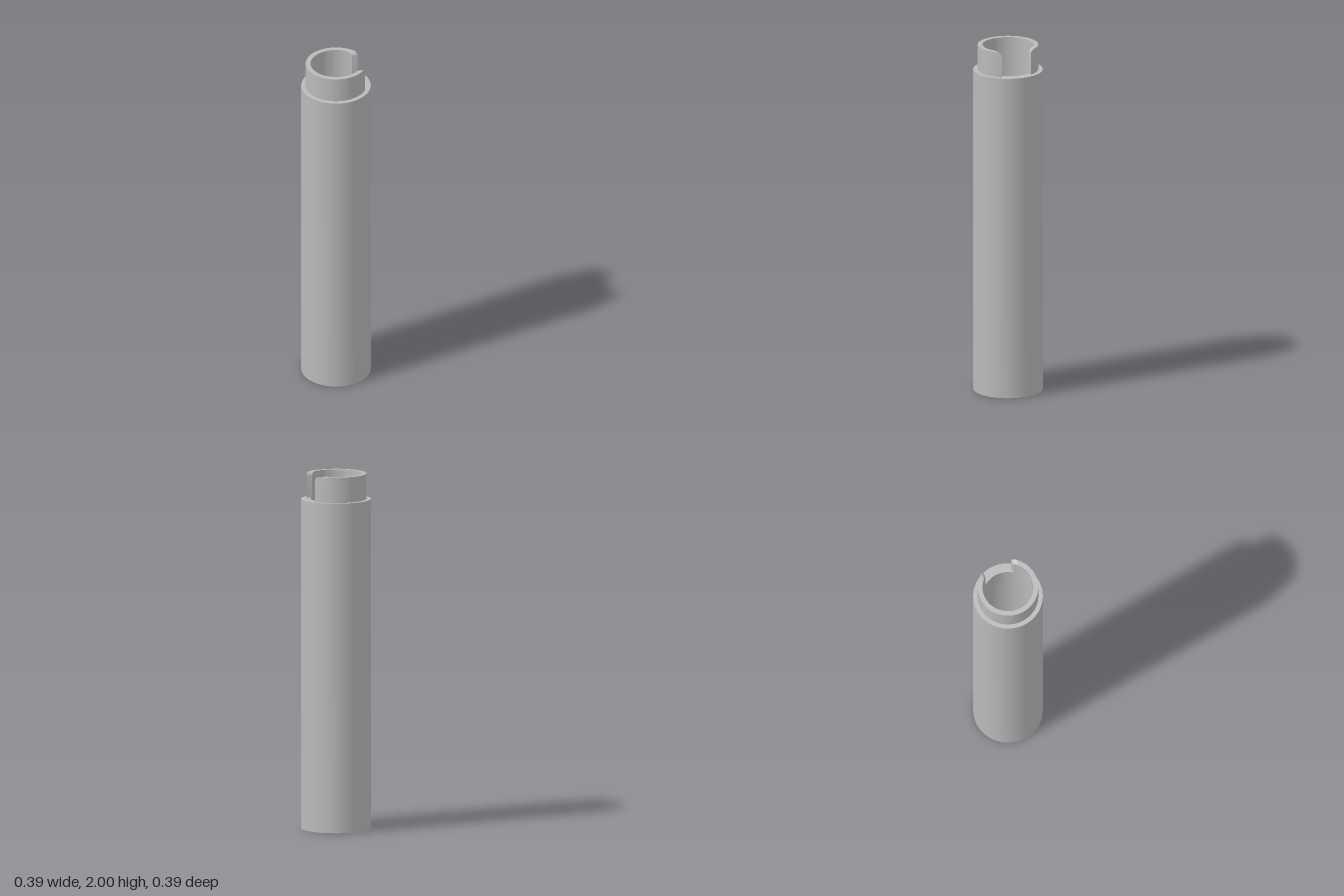
import * as THREE from 'three';
import { toCreasedNormals } from 'three/addons/utils/BufferGeometryUtils.js';

const OUTER = 0.194, COLLAR = 0.169, SOCKET = 0.168, BORE = 0.142;
const SHOULDER = 1.857, TOP = 2;
const SLOT = 0.085, ROUND = 0.025; // slot half width, rounding of its upper corners

// C-shaped collar: rectangular sections swept round, starting and ending at the flat slot walls
function collarGeometry() {
  const steps = 8, arc = 88, sections = [];
  const edge = SLOT + ROUND;
  const addSection = (angleAt, y) => {
    const p = (r, h) => new THREE.Vector3(r * Math.cos(angleAt(r)), h, r * Math.sin(angleAt(r)));
    sections.push([p(BORE, SHOULDER), p(COLLAR, SHOULDER), p(COLLAR, y), p(BORE, y)]);
  };
  const corner = (i, mirror) => {
    const t = (i / steps) * Math.PI / 2;
    const z = edge - ROUND * Math.cos(t);
    addSection((r) => {
      const a = Math.asin(z / r);
      return mirror ? 2 * Math.PI - a : a;
    }, TOP - ROUND + ROUND * Math.sin(t));
  };
  for (let i = 0; i <= steps; i++) corner(i, false);
  for (let i = 1; i < arc; i++) {
    addSection((r) => {
      const a = Math.asin(edge / r);
      return a + (2 * Math.PI - 2 * a) * i / arc;
    }, TOP);
  }
  for (let i = steps; i >= 0; i--) corner(i, true);

  const points = [];
  for (let s = 0; s < sections.length - 1; s++) {
    const p = sections[s], q = sections[s + 1];
    for (let j = 0; j < 4; j++) {
      const k = (j + 1) % 4;
      points.push(p[j], p[k], q[j], q[j], p[k], q[k]);
    }
  }
  const [a, b, c, d] = sections[0];
  const [e, f, g, h] = sections[sections.length - 1];
  points.push(a, d, c, a, c, b, e, f, g, e, g, h);
  return toCreasedNormals(new THREE.BufferGeometry().setFromPoints(points), 0.6);
}

// Hollow tube with a wider socket below and a shoulder at the top
function tubeGeometry() {
  const seat = 1.71;
  const profile = [
    [SOCKET, 0], [OUTER, 0], [OUTER, SHOULDER], [BORE, SHOULDER],
    [BORE, seat], [SOCKET, seat], [SOCKET, 0],
  ].map(([x, y]) => new THREE.Vector2(x, y));
  return toCreasedNormals(new THREE.LatheGeometry(profile, 96), 0.6);
}

export function createModel() {
  const grey = new THREE.MeshStandardMaterial({ color: 0xbababa });
  grey.name = 'plain grey';
  const model = new THREE.Group();
  model.name = 'slottedTube';
  const add = (name, geometry) => {
    const mesh = new THREE.Mesh(geometry, grey);
    mesh.name = name;
    model.add(mesh);
  };
  add('tubeBody', tubeGeometry());
  add('slottedCollar', collarGeometry());
  return model;
}
